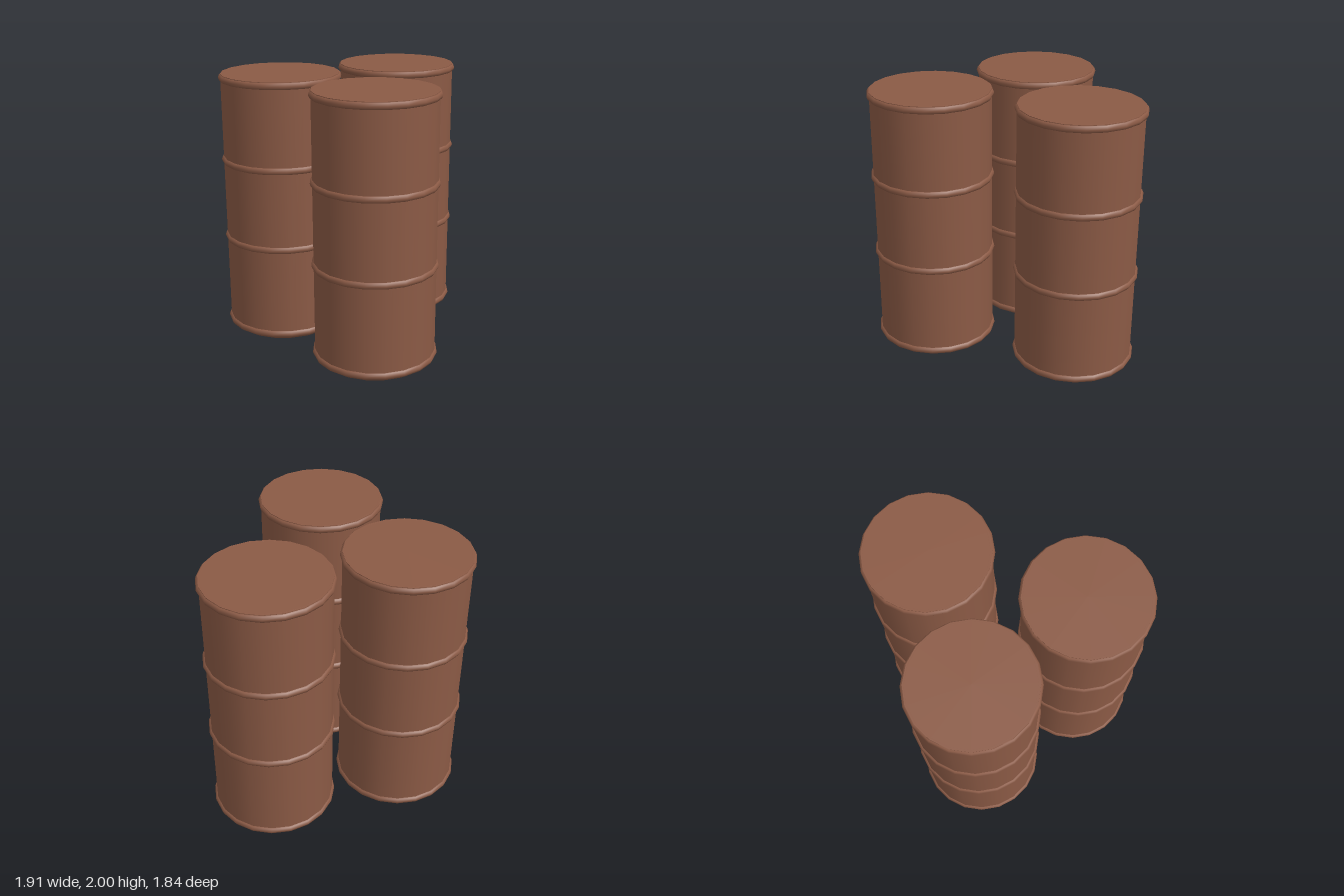
import * as THREE from 'three';

const SIDES = 20;
const BODY_R = 0.445;

export function createModel() {
  const rust = new THREE.MeshStandardMaterial({ color: 0x8b5a45 });
  rust.name = 'rustBrown';

  // Shared parts: straight wall with lid, tapered foot, and rolled hoop
  const wallGeo = new THREE.CylinderGeometry(BODY_R, BODY_R, 1.969, SIDES);
  wallGeo.translate(0, 0.03 + 1.969 / 2, 0);
  const footGeo = new THREE.CylinderGeometry(BODY_R, 0.41, 0.03, SIDES);
  footGeo.translate(0, 0.015, 0);
  const hoopGeo = new THREE.TorusGeometry(0.432, 0.03, 8, SIDES);
  hoopGeo.rotateX(Math.PI / 2);

  function makeBarrel(name, x, z) {
    const barrel = new THREE.Group();
    barrel.name = name;
    const add = (part, geo, y = 0) => {
      const mesh = new THREE.Mesh(geo, rust);
      mesh.name = part;
      mesh.position.y = y;
      barrel.add(mesh);
    };
    add('barrelWall', wallGeo);
    add('barrelFoot', footGeo);
    // Hoops at the bottom rim, two thirds and top rim
    add('bottomHoop', hoopGeo, 0.05);
    add('lowerHoop', hoopGeo, 0.734);
    add('upperHoop', hoopGeo, 1.346);
    add('topHoop', hoopGeo, 1.97);
    barrel.position.set(x, 0, z);
    return barrel;
  }

  const group = new THREE.Group();
  group.name = 'barrelCluster';
  group.add(
    makeBarrel('backRightBarrel', -0.495, -0.457),
    makeBarrel('backLeftBarrel', 0.495, -0.457),
    makeBarrel('frontBarrel', -0.164, 0.457),
  );
  return group;
}
